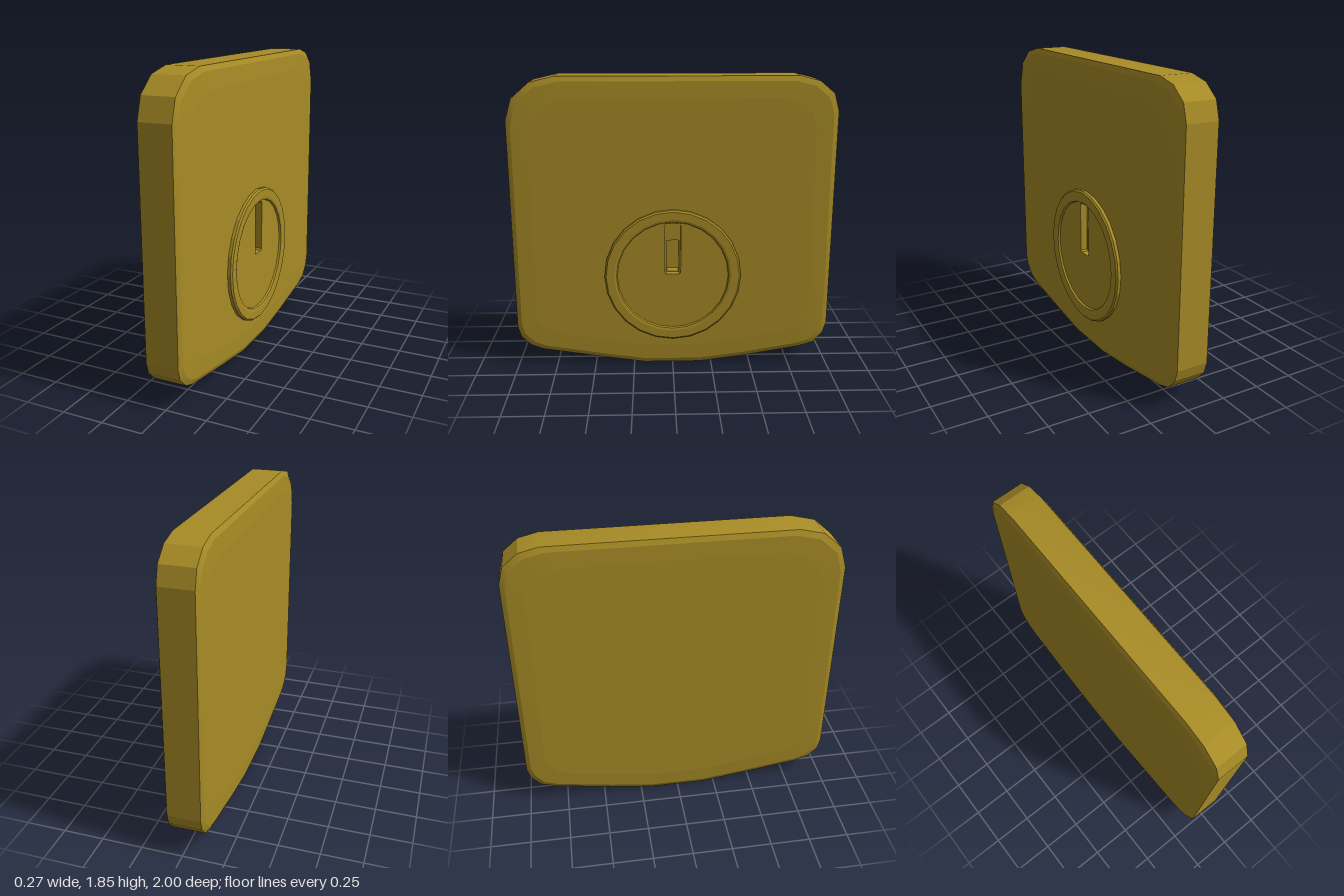
import * as THREE from 'three';
import { toCreasedNormals } from 'three/addons/utils/BufferGeometryUtils.js';

const brass = new THREE.MeshStandardMaterial({ color: 0xa88c26 });
brass.name = 'brass';

const DIAL_Y = 0.61;

// Skin between successive rings; counter-clockwise rings going up in z face outward
function loft(rings) {
  const pos = [];
  for (let k = 0; k < rings.length - 1; k++) {
    const a = rings[k], b = rings[k + 1], n = a.length;
    for (let i = 0; i < n; i++) {
      const j = (i + 1) % n;
      for (const p of [a[i], a[j], b[j], a[i], b[j], b[i]]) pos.push(p.x, p.y, p.z);
    }
  }
  const g = new THREE.BufferGeometry();
  g.setAttribute('position', new THREE.Float32BufferAttribute(pos, 3));
  return toCreasedNormals(g, 0.25);
}

const ring = (pts, z) => pts.map(p => new THREE.Vector3(p.x, p.y, z));
const circle = (r, n = 24) => Array.from({ length: n }, (_, i) => {
  const a = (i / n) * Math.PI * 2;
  return new THREE.Vector2(r * Math.cos(a), DIAL_Y + r * Math.sin(a));
});

// Rectangle with small chamfered corners, counter-clockwise
function slotOutline(w, y0, y1, c = 0.01) {
  return [[-w + c, y0], [w - c, y0], [w, y0 + c], [w, y1 - c],
    [w - c, y1], [-w + c, y1], [-w, y1 - c], [-w, y0 + c]].map(p => new THREE.Vector2(...p));
}

// Flat plate with an optional hole
function plate(pts, z, hole, flip) {
  const s = new THREE.Shape(pts);
  if (hole) s.holes.push(new THREE.Path(hole));
  const g = new THREE.ShapeGeometry(s);
  if (flip) { g.scale(-1, 1, 1); g.rotateY(Math.PI); g.scale(1, 1, 1); }
  g.translate(0, 0, z);
  return g;
}

export function createModel() {
  const model = new THREE.Group();
  model.name = 'lockPlate';
  // Parts are drawn in a plane, then turned so the dial faces +x
  const turned = new THREE.Group();
  turned.name = 'plateAssembly';
  turned.rotation.y = Math.PI / 2;
  model.add(turned);
  const add = (name, geo) => {
    const m = new THREE.Mesh(geo, brass);
    m.name = name;
    turned.add(m);
  };

  // Body outline with rounded corners and a bowed lower edge
  const outline = [
    [-1, 0.26], [-0.98, 0.19], [-0.92, 0.13], [-0.84, 0.1], [-0.46, 0.04], [-0.18, 0.005],
    [0.18, 0.005], [0.46, 0.037], [0.83, 0.1], [0.92, 0.13], [0.98, 0.2], [1, 0.27],
    [1, 1.64], [0.97, 1.745], [0.88, 1.82], [0.76, 1.85],
    [-0.7, 1.85], [-0.85, 1.815], [-0.96, 1.72], [-1, 1.59],
  ].map(([x, y]) => new THREE.Vector2(x, y - (y < 0.01 ? 0.005 : 0)));
  const inset = d => outline.map(p =>
    new THREE.Vector2(p.x * (1 - d), 0.925 + (p.y - 0.925) * (1 - d / 0.925)));

  // Body side with softened edges on both faces
  add('bodySide', loft([[0.13, -0.136], [0.03, -0.131], [0, -0.117],
    [0, 0.084], [0.03, 0.098], [0.13, 0.103]].map(([d, z]) => ring(inset(d), z))));
  add('bodyFront', plate(inset(0.13), 0.103, circle(0.4)));
  add('bodyBack', plate(inset(0.13).map(p => new THREE.Vector2(-p.x, p.y)), 0, null)
    .rotateY(Math.PI).translate(0, 0, -0.136));

  // Raised ring with a rolled rim, stepping down to the dial floor
  add('dialRing', loft([[0.43, 0.095], [0.43, 0.122], [0.42, 0.132], [0.37, 0.132],
    [0.355, 0.128], [0.35, 0.115]].map(([r, z]) => ring(circle(r), z))));

  // Dial floor, slot and the deeper pocket in its lower half
  const slot = slotOutline(0.05, 0.62, 0.95);
  const pocket = slotOutline(0.04, 0.624, 0.83, 0.005);
  add('dialFloor', plate(circle(0.35), 0.115, slot));
  add('slotWall', loft([ring(slot, 0.115), ring(slot, 0.07)]));
  add('slotFloor', plate(slot, 0.07, pocket));
  add('pocketWall', loft([ring(pocket, 0.07), ring(pocket, 0.0)]));
  add('pocketFloor', plate(pocket, 0.0));
  return model;
}
